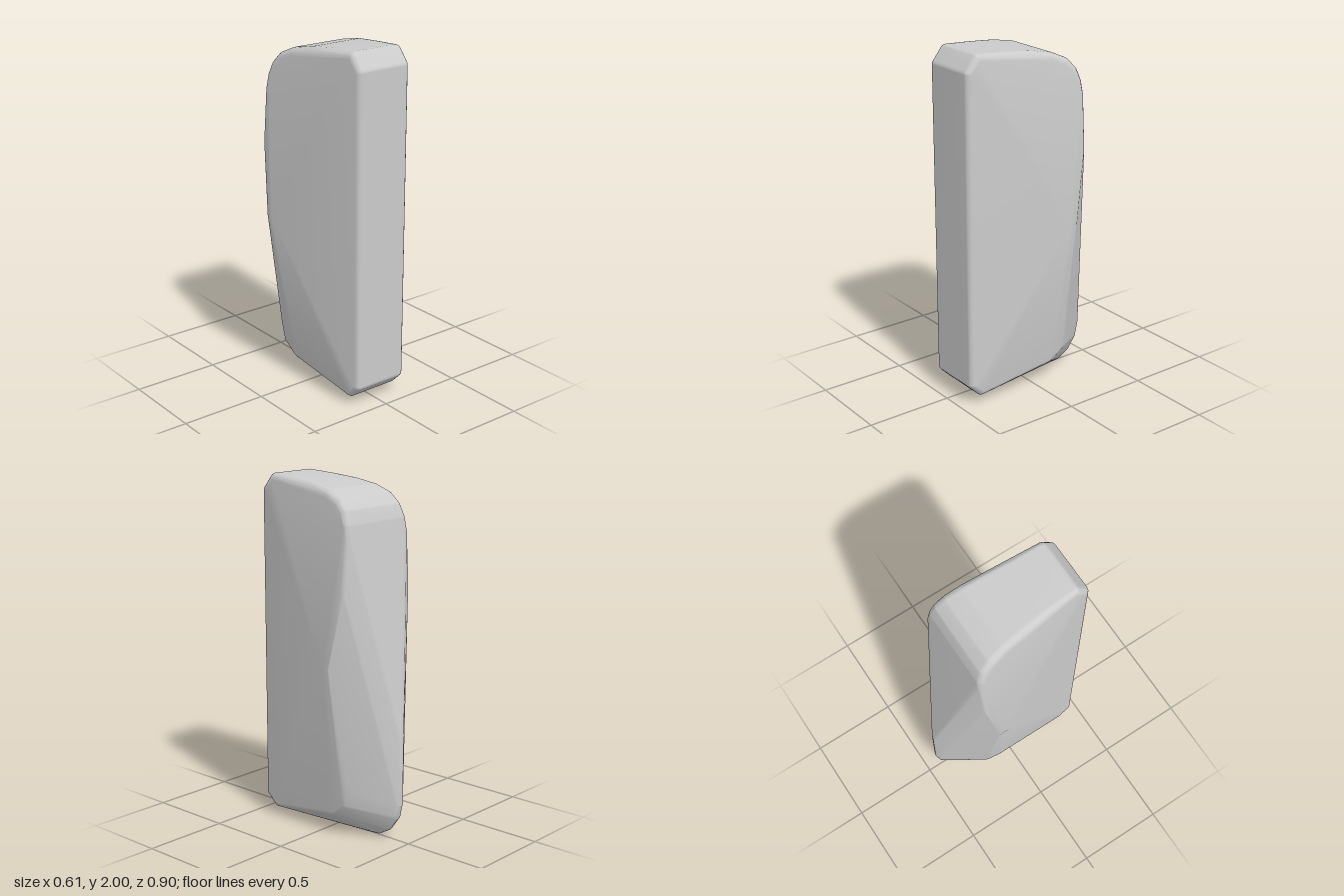
import * as THREE from 'three';
import { ConvexGeometry } from 'three/addons/geometries/ConvexGeometry.js';
import { mergeVertices } from 'three/addons/utils/BufferGeometryUtils.js';

// Rounded convex body: the hull of small balls set at its corners.
// Each corner is [x, y, z, radius]; corners off the centre line are mirrored.
const corners = [
  // flat front with its bevels above and below
  [0.14, 1.9, 0.42, 0.03],
  [0.14, 0.13, 0.42, 0.03],
  [0.135, 1.965, 0.365, 0.035],
  [0.14, 0.075, 0.365, 0.03],
  // top edge, curving down towards the back
  [0.14, 1.945, 0.2, 0.045],
  [0.155, 1.93, 0.05, 0.045],
  [0.17, 1.905, -0.08, 0.045],
  [0.185, 1.875, -0.16, 0.04],
  [0.197, 1.83, -0.205, 0.037],
  [0.21, 1.77, -0.23, 0.033],
  [0.222, 1.7, -0.242, 0.028],
  [0.25, 1.4, -0.242, 0.022],
  // widest point of each side
  [0.295, 1.0, -0.14, 0.012],
  [0.295, 1.0, -0.175, 0.012],
  // lower side edge
  [0.155, 0.14, -0.1, 0.03],
  [0.155, 0.2, -0.18, 0.035],
  [0.16, 0.29, -0.2, 0.035],
  // rear ridge and keel
  [0, 0.58, -0.41, 0.036],
  [0, 0.22, -0.41, 0.036],
  [0, 0.15, -0.395, 0.036],
  [0, 0.08, -0.345, 0.036],
  [0, 0.045, -0.285, 0.036],
  [0, 0.03, -0.2, 0.028],
];

function ball([x, y, z, r]) {
  const points = [];
  const rings = 8, sides = 12;
  for (let i = 0; i <= rings; i++) {
    const a = Math.PI * i / rings;
    const count = i === 0 || i === rings ? 1 : sides;
    for (let j = 0; j < count; j++) {
      const b = 2 * Math.PI * j / sides;
      points.push(new THREE.Vector3(
        x + r * Math.sin(a) * Math.cos(b),
        y + r * Math.cos(a),
        z + r * Math.sin(a) * Math.sin(b)));
    }
  }
  return points;
}

export function createModel() {
  const points = [];
  for (const [x, y, z, r] of corners) {
    points.push(...ball([x, y, z, r]));
    if (x) points.push(...ball([-x, y, z, r]));
  }

  // Shared vertices let the large faces blend softly into the round edges.
  let geometry = new ConvexGeometry(points);
  geometry.deleteAttribute('normal');
  geometry = mergeVertices(geometry, 1e-5);
  geometry.computeVertexNormals();

  const body = new THREE.Mesh(geometry, new THREE.MeshStandardMaterial({ color: 0xcccccc }));
  body.name = 'body';
  const model = new THREE.Group();
  model.name = 'roundedBlock';
  model.add(body);
  return model;
}
